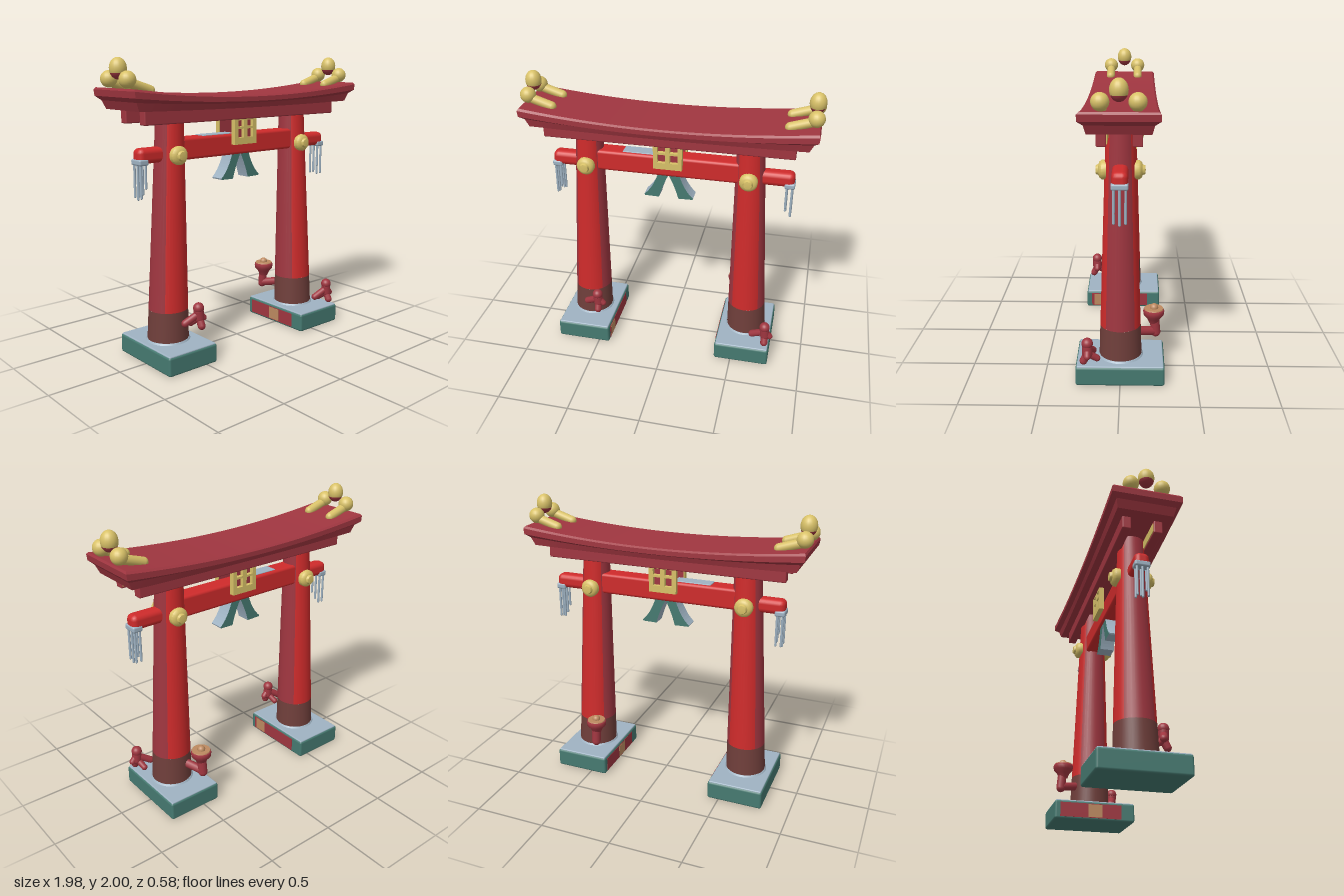
import * as THREE from 'three';
import { toCreasedNormals } from 'three/addons/utils/BufferGeometryUtils.js';
import { RoundedBoxGeometry } from 'three/addons/geometries/RoundedBoxGeometry.js';

const material = (name, color) => new THREE.MeshStandardMaterial({ name, color });

export function createModel() {
  const model = new THREE.Group();
  model.name = 'shrineGate';
  const red = material('bright red', 0xcf2b2b);
  const darkRed = material('dark red', 0xa03640);
  const teal = material('teal', 0x467a71);
  const frost = material('frost blue', 0x9fb3c3);
  const gold = material('gold', 0xd8c168);
  const brown = material('brown', 0x703f3b);
  const tan = material('tan', 0xbd8a60);

  const add = (name, geometry, mat, x = 0, y = 0, z = 0) => {
    const mesh = new THREE.Mesh(geometry, mat);
    mesh.name = name;
    mesh.position.set(x, y, z);
    model.add(mesh);
    return mesh;
  };
  const box = (name, mat, w, h, d, x, y, z, r = 0) =>
    add(name, r ? new RoundedBoxGeometry(w, h, d, 2, r) : new THREE.BoxGeometry(w, h, d), mat, x, y, z);
  const ball = (name, mat, r, x, y, z) => add(name, new THREE.SphereGeometry(r, 20, 14), mat, x, y, z);
  // Rounded rod between two points
  const limb = (name, mat, r, a, b) => {
    const from = new THREE.Vector3(...a), to = new THREE.Vector3(...b);
    const dir = to.clone().sub(from);
    const mesh = add(name, new THREE.CapsuleGeometry(r, dir.length(), 5, 12), mat);
    mesh.position.copy(from).add(to).multiplyScalar(0.5);
    mesh.quaternion.setFromUnitVectors(new THREE.Vector3(0, 1, 0), dir.normalize());
  };

  // Pillars: tapered, leaning inward, standing on frosted plinths
  const CX = -0.02, Y0 = 0.13, Y1 = 1.68;
  const radiusAt = y => 0.14 - 0.05 * (y - Y0) / (Y1 - Y0);
  const centreAt = (s, y) => CX + s * (0.595 - 0.045 * (y - Y0) / (Y1 - Y0));
  const pillarPart = (name, mat, s, y0, y1, start, sweep) => {
    const h = y1 - y0;
    const g = new THREE.CylinderGeometry(radiusAt(y1), radiusAt(y0), h, Math.round(sweep * 6), 1, true, start, sweep);
    const p = g.attributes.position;
    for (let i = 0; i < p.count; i++) p.setX(i, p.getX(i) + centreAt(s, p.getY(i) + y0 + h / 2));
    add(name, g, mat, 0, y0 + h / 2, 0);
  };
  for (const s of [-1, 1]) {
    const bx = CX + s * 0.595;
    box('plinth', teal, 0.39, 0.13, 0.576, bx, 0.065, 0, 0.015);
    box('plinthFrost', frost, 0.376, 0.016, 0.562, bx, 0.128, 0, 0.007);
    add('pillarFrostRing', new THREE.CylinderGeometry(0.142, 0.152, 0.014, 36), frost, bx, 0.14, 0);
    pillarPart('pillarFoot', brown, s, Y0, 0.35, 0, Math.PI * 2);
    for (let q = 0; q < 4; q++)
      pillarPart('pillarFace', q % 2 ? darkRed : red, s, 0.35, Y1, (q - 0.5) * Math.PI / 2, Math.PI / 2);

    // Worn paint on the inner side of each plinth
    const ix = bx - s * 0.195;
    box('plinthPaint', darkRed, 0.006, 0.10, 0.44, ix, 0.065, s * -0.03);
    box('plinthPatch', tan, 0.009, 0.09, 0.1, ix, 0.065, s < 0 ? 0.18 : 0);

    // Round bosses where the tie beam passes the pillar
    for (const f of [-1, 1]) {
      const profile = [[0, 0.07], [0.028, 0.066], [0.034, 0.05], [0.048, 0.046], [0.061, 0.03], [0.061, 0]];
      const boss = add('boss', toCreasedNormals(new THREE.LatheGeometry(
        profile.map(([x, y]) => new THREE.Vector2(x, y)).reverse(), 20), 0.7), gold,
        centreAt(s, 1.385), 1.385, f * 0.087);
      boss.rotation.x = f * Math.PI / 2;
    }
  }

  // Tie beam with thinner protruding ends
  box('tieBeam', red, 1.1, 0.145, 0.13, CX, 1.415, 0, 0.02);
  box('tieBeamEnds', red, 1.67, 0.1, 0.1, 0, 1.39, 0, 0.035);
  box('tieBeamFrost', frost, 0.26, 0.01, 0.09, -0.2, 1.488, 0, 0.004);

  // Icicles under the beam ends
  for (const s of [-1, 1]) {
    const x = s * 0.805;
    box('icicleCap', frost, 0.07, 0.04, 0.106, x, 1.352, 0, 0.012);
    for (const dx of [-0.018, 0.018]) for (let k = -1; k <= 1; k++) {
      const bottom = 1.115 + (k === 0 ? 0 : 0.012) + (dx * s < 0 ? 0.03 * (k + 1) : 0);
      limb('icicle', frost, 0.008, [x + dx, 1.35, k * 0.036], [x + dx, bottom, k * 0.036]);
    }
  }

  // Twin planks under the roof
  for (const f of [-1, 1]) box('roofPlank', darkRed, 1.68, 0.1, 0.06, -0.01, 1.64, f * 0.106, 0.008);
  box('plankLining', gold, 1.66, 0.06, 0.006, -0.01, 1.635, 0.074);

  // Upswept roof: rows of [half depth, end height, middle height, half length]
  const rows = [[0.222, 1.815, 1.755, 0.965], [0.235, 1.802, 1.745, 0.973], [0.235, 1.762, 1.715, 0.968],
    [0.2, 1.735, 1.702, 0.94], [0.187, 1.68, 1.67, 0.915]];
  const n = rows.length, ring = n * 2, stations = 32, points = [], faces = [];
  for (let k = 0; k <= stations; k++) {
    const t = k / stations * 2 - 1;
    for (let i = 0; i < ring; i++) {
      const [z, end, mid, len] = rows[i < n ? i : ring - 1 - i];
      points.push(t * len - 0.007, mid + (end - mid) * t * t, i < n ? z : -z);
    }
  }
  for (let k = 0; k < stations; k++) for (let i = 0; i < ring; i++) {
    const a = k * ring + i, b = k * ring + (i + 1) % ring;
    faces.push(a, b, a + ring, b, b + ring, a + ring);
  }
  const last = stations * ring;
  for (let i = 0; i < n - 1; i++) {
    const p = i, p2 = i + 1, q = ring - 1 - i, q2 = q - 1;
    faces.push(last + p, last + p2, last + q, last + q, last + p2, last + q2);
    faces.push(p, q, p2, q, q2, p2);
  }
  const roof = new THREE.BufferGeometry();
  roof.setAttribute('position', new THREE.Float32BufferAttribute(points, 3));
  roof.setIndex(faces);
  add('roof', toCreasedNormals(roof, 0.3), darkRed);

  // Gold finials at both roof ends
  for (const s of [-1, 1]) {
    const x = s * 0.93 - 0.007;
    for (const [name, mat, start, sweep] of [['finialOrb', gold, 0, 2.0], ['finialOrbBase', darkRed, 2.0, Math.PI - 2.0]])
      add(name, new THREE.SphereGeometry(0.054, 20, 12, 0, Math.PI * 2, start, sweep), mat, x + s * 0.006, 1.933, 0)
        .scale.y = 1.24;
    for (const f of [-1, 1]) {
      const z = f * 0.105;
      ball('finialKnob', gold, 0.053, x + s * 0.008, 1.868, z);
      limb('finialBar', gold, 0.031, [x, 1.85, z], [x - s * 0.15, 1.802, z]);
    }
  }

  // Latticed plaque on both faces
  const plate = new THREE.Shape();
  plate.moveTo(-0.098, -0.088).lineTo(0.098, -0.088).lineTo(0.098, 0.088).lineTo(-0.098, 0.088).closePath();
  for (const x of [-0.042, 0.042]) for (const y of [-0.012, 0.055]) {
    const w = 0.026, h = y < 0 ? 0.03 : 0.022, hole = new THREE.Path();
    hole.moveTo(x - w, y - h).lineTo(x - w, y + h).lineTo(x + w, y + h).lineTo(x + w, y - h).closePath();
    plate.holes.push(hole);
  }
  const plateGeometry = new THREE.ExtrudeGeometry(plate, { depth: 0.035, bevelEnabled: false });
  for (const f of [-1, 1]) {
    add('plaque', plateGeometry, gold, -0.007, 1.503, f * 0.067).rotation.y = f < 0 ? Math.PI : 0;
    box('plaqueBack', darkRed, 0.18, 0.16, 0.008, -0.007, 1.503, f * 0.07);
  }

  // Flared cloth tails below the beam
  for (const s of [-1, 1]) {
    const tail = new THREE.Shape();
    tail.moveTo(0, 1.35).lineTo(s * 0.075, 1.35);
    tail.quadraticCurveTo(s * 0.11, 1.24, s * 0.172, 1.185);
    tail.lineTo(s * 0.168, 1.176).lineTo(s * 0.068, 1.174);
    tail.quadraticCurveTo(s * 0.05, 1.25, 0, 1.35);
    add('clothTail', new THREE.ExtrudeGeometry(tail, { depth: 0.1, bevelEnabled: false, curveSegments: 8 }),
      [teal, frost], -0.01, 0, -0.05);
  }

  // Small branching figures at the front of the pillars
  const figure = (x, y, z) => {
    ball('figureHead', darkRed, 0.037, x, y + 0.13, z);
    limb('figureBody', darkRed, 0.034, [x, y + 0.11, z], [x + 0.005, y + 0.06, z]);
    limb('figureArm', darkRed, 0.025, [x, y + 0.09, z], [x - 0.09, y + 0.035, z - 0.03]);
    limb('figureArm', darkRed, 0.022, [x, y + 0.1, z], [x + 0.04, y + 0.055, z]);
    limb('figureLeg', darkRed, 0.026, [x + 0.005, y + 0.06, z], [x + 0.005, y + 0.01, z + 0.025]);
    limb('figureLeg', darkRed, 0.022, [x, y + 0.06, z], [x - 0.02, y + 0.015, z - 0.06]);
  };
  figure(-0.515, 0.25, 0.21);
  figure(0.73, 0.155, 0.21);

  // Goblet on a bracket at the back
  limb('gobletBracket', darkRed, 0.03, [0.53, 0.275, -0.1], [0.475, 0.25, -0.22]);
  limb('gobletStem', darkRed, 0.032, [0.472, 0.24, -0.235], [0.472, 0.34, -0.225]);
  const bowl = [[0.03, 0.31], [0.045, 0.345], [0.068, 0.37], [0.071, 0.395], [0.066, 0.41], [0, 0.412]];
  add('gobletBowl', new THREE.LatheGeometry(bowl.map(([x, y]) => new THREE.Vector2(x, y)), 20), darkRed, 0.472, 0, -0.22);
  add('gobletTop', new THREE.CylinderGeometry(0.062, 0.066, 0.009, 20), tan, 0.472, 0.412, -0.22);
  ball('gobletKnob', tan, 0.028, 0.472, 0.42, -0.222);

  return model;
}
